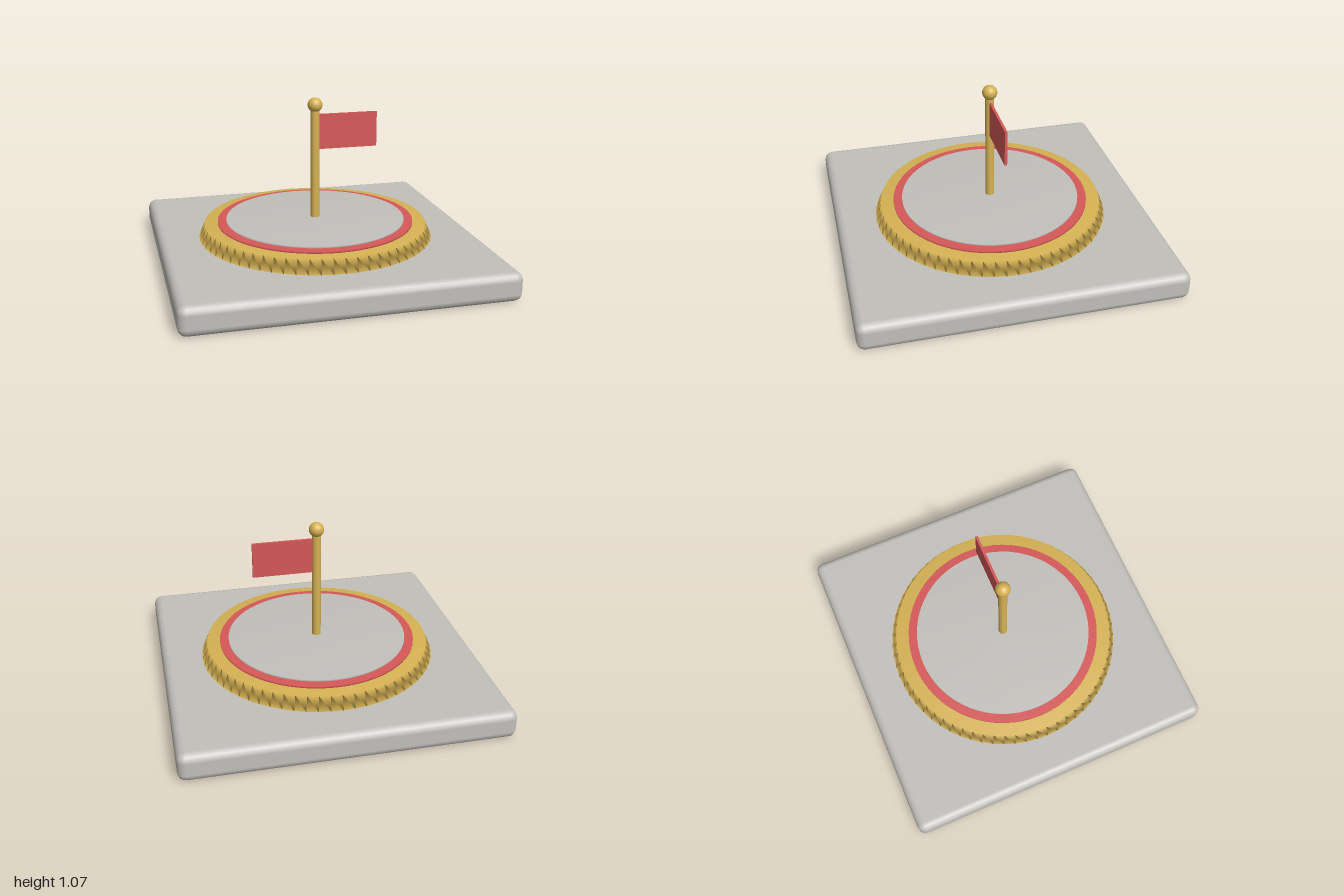
import * as THREE from 'three';
import { RoundedBoxGeometry } from 'three/addons/geometries/RoundedBoxGeometry.js';

const material = (name, color) => {
  const m = new THREE.MeshStandardMaterial({ color });
  m.name = name;
  return m;
};

export function createModel() {
  const stone = material('stone grey', 0xc2c0bb);
  const gold = material('gold', 0xd6b254);
  const red = material('red', 0xd65858);

  const model = new THREE.Group();
  model.name = 'flagPlatform';

  const add = (name, geometry, mat, x = 0, y = 0, z = 0) => {
    const mesh = new THREE.Mesh(geometry, mat);
    mesh.name = name;
    mesh.position.set(x, y, z);
    model.add(mesh);
  };

  // Closed round plate with softly shaded rims
  const plate = (bottomRadius, topRadius, y0, y1) => new THREE.LatheGeometry([
    new THREE.Vector2(0, y0),
    new THREE.Vector2(bottomRadius, y0),
    new THREE.Vector2(topRadius, y1),
    new THREE.Vector2(0, y1),
  ], 64);

  // Square slab with rounded edges
  add('baseSlab', new RoundedBoxGeometry(2, 0.18, 2, 2, 0.05), stone, 0, 0.09, 0);

  // Stacked round plates
  add('goldPlinth', plate(0.75, 0.71, 0.175, 0.265), gold);
  add('redRing', plate(0.628, 0.628, 0.255, 0.278), red);
  add('centreDisc', plate(0.572, 0.572, 0.265, 0.288), stone);

  // Flagpole with ball finial
  add('flagPole', new THREE.CylinderGeometry(0.028, 0.028, 0.73, 24), gold, 0, 0.645, 0);
  add('poleBall', new THREE.SphereGeometry(0.047, 24, 16), gold, 0, 1.02, 0);

  // Flag on the +x side of the pole
  add('flag', new THREE.BoxGeometry(0.385, 0.225, 0.016), red, 0.2125, 0.8475, 0);

  return model;
}
